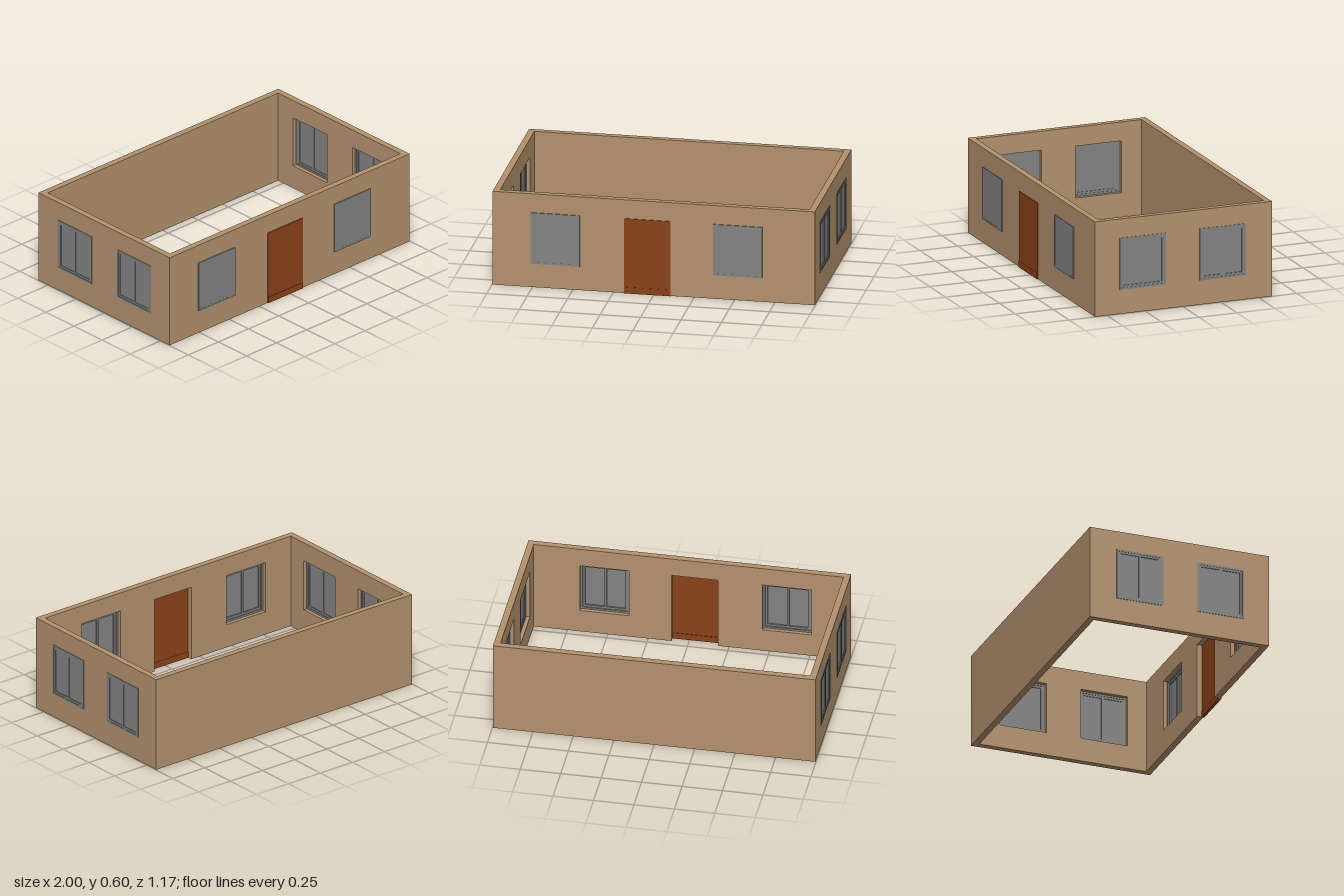
import * as THREE from 'three';

const wallMat = new THREE.MeshStandardMaterial({ name: 'tan wall', color: 0xb3926d });
const greyMat = new THREE.MeshStandardMaterial({ name: 'window grey', color: 0x838383 });
const doorMat = new THREE.MeshStandardMaterial({ name: 'door brown', color: 0x8b4218 });

const H = 0.6, T = 0.04;            // wall height and thickness
const X = 0.997, BACK = -0.587, FRONT = 0.58;
const W = 0.303, SILL = 0.152, HEAD = 0.48;

function rect(x0, y0, x1, y1, Type = THREE.Shape) {
  const s = new Type();
  s.moveTo(x0, y0).lineTo(x1, y0).lineTo(x1, y1).lineTo(x0, y1).closePath();
  return s;
}

function extrude(shape, depth, material, name) {
  const geo = new THREE.ExtrudeGeometry(shape, { depth, bevelEnabled: false });
  const mesh = new THREE.Mesh(geo, material);
  mesh.name = name;
  return mesh;
}

function box(x0, y0, z0, x1, y1, z1, material, name) {
  const mesh = new THREE.Mesh(new THREE.BoxGeometry(x1 - x0, y1 - y0, z1 - z0), material);
  mesh.position.set((x0 + x1) / 2, (y0 + y1) / 2, (z0 + z1) / 2);
  mesh.name = name;
  return mesh;
}

// Two-light window; local z = 0 is the wall's outer face, +z points outdoors
function createWindow(name, proud, flushPane) {
  const g = new THREE.Group();
  g.name = name;
  const w = W / 2, e = 0.012, back = -0.016;
  const frame = rect(-w, SILL, w, HEAD);
  frame.holes.push(rect(-w + e, SILL + e, w - e, HEAD - e, THREE.Path));
  const ring = extrude(frame, proud - back, greyMat, 'windowFrame');
  ring.position.z = back;
  g.add(ring);
  const paneFront = flushPane ? proud - 0.0005 : -0.004;
  g.add(box(-w + e, SILL + e, paneFront - 0.005, w - e, HEAD - e, paneFront, greyMat, 'windowPane'));
  // sash bars around both lights
  const sash = rect(-w + e, SILL + e, w - e, HEAD - e);
  for (const [a, b] of [[-w + 0.026, -0.007], [0.007, w - 0.026]]) {
    sash.holes.push(rect(a, SILL + 0.026, b, HEAD - 0.026, THREE.Path));
  }
  const bars = extrude(sash, flushPane ? 0.01 : 0.014, greyMat, 'windowSash');
  bars.position.z = flushPane ? -0.009 : -0.013;
  g.add(bars);
  return g;
}

export function createModel() {
  const model = new THREE.Group();
  model.name = 'house';

  // Front wall with a door notch and two window openings
  const doorL = -0.183, doorR = 0.105;
  const front = new THREE.Shape();
  front.moveTo(-X, 0).lineTo(doorL, 0).lineTo(doorL, HEAD).lineTo(doorR, HEAD).lineTo(doorR, 0)
    .lineTo(X, 0).lineTo(X, H).lineTo(-X, H).closePath();
  const frontCentres = [-0.608, 0.52];
  for (const c of frontCentres) {
    front.holes.push(rect(c - W / 2, SILL, c + W / 2, HEAD, THREE.Path));
  }
  const frontWall = extrude(front, T, wallMat, 'frontWall');
  frontWall.position.z = FRONT - T;
  model.add(frontWall);
  for (const c of frontCentres) {
    const win = createWindow('frontWindow', 0.006, true);
    win.position.set(c, 0, FRONT);
    model.add(win);
  }

  // Back wall
  model.add(box(-X, 0, BACK, X, H, BACK + T, wallMat, 'backWall'));

  // Side walls, each with two windows
  const sideCentres = [-0.262, 0.265];
  for (const s of [1, -1]) {
    const side = new THREE.Group();
    side.name = s > 0 ? 'leftSide' : 'rightSide';
    // local x equals -s * z once the side is turned to face outwards
    const ends = [-s * (BACK + T), -s * (FRONT - T)].sort((a, b) => a - b);
    const shape = rect(ends[0], 0, ends[1], H);
    for (const c of sideCentres) {
      const u = -s * c;
      shape.holes.push(rect(u - W / 2, SILL, u + W / 2, HEAD, THREE.Path));
      const win = createWindow('sideWindow', 0.003, false);
      win.position.x = u;
      side.add(win);
    }
    const wall = extrude(shape, T, wallMat, 'sideWall');
    wall.position.z = -T;
    side.add(wall);
    side.rotation.y = s * Math.PI / 2;
    side.position.x = s * X;
    model.add(side);
  }

  // Door leaf with a bottom rail
  model.add(box(doorL, 0, FRONT - 0.008, doorR, HEAD, FRONT + 0.005, doorMat, 'door'));
  model.add(box(doorL, 0, FRONT - 0.011, doorR, 0.04, FRONT + 0.007, doorMat, 'doorBottomRail'));

  return model;
}
